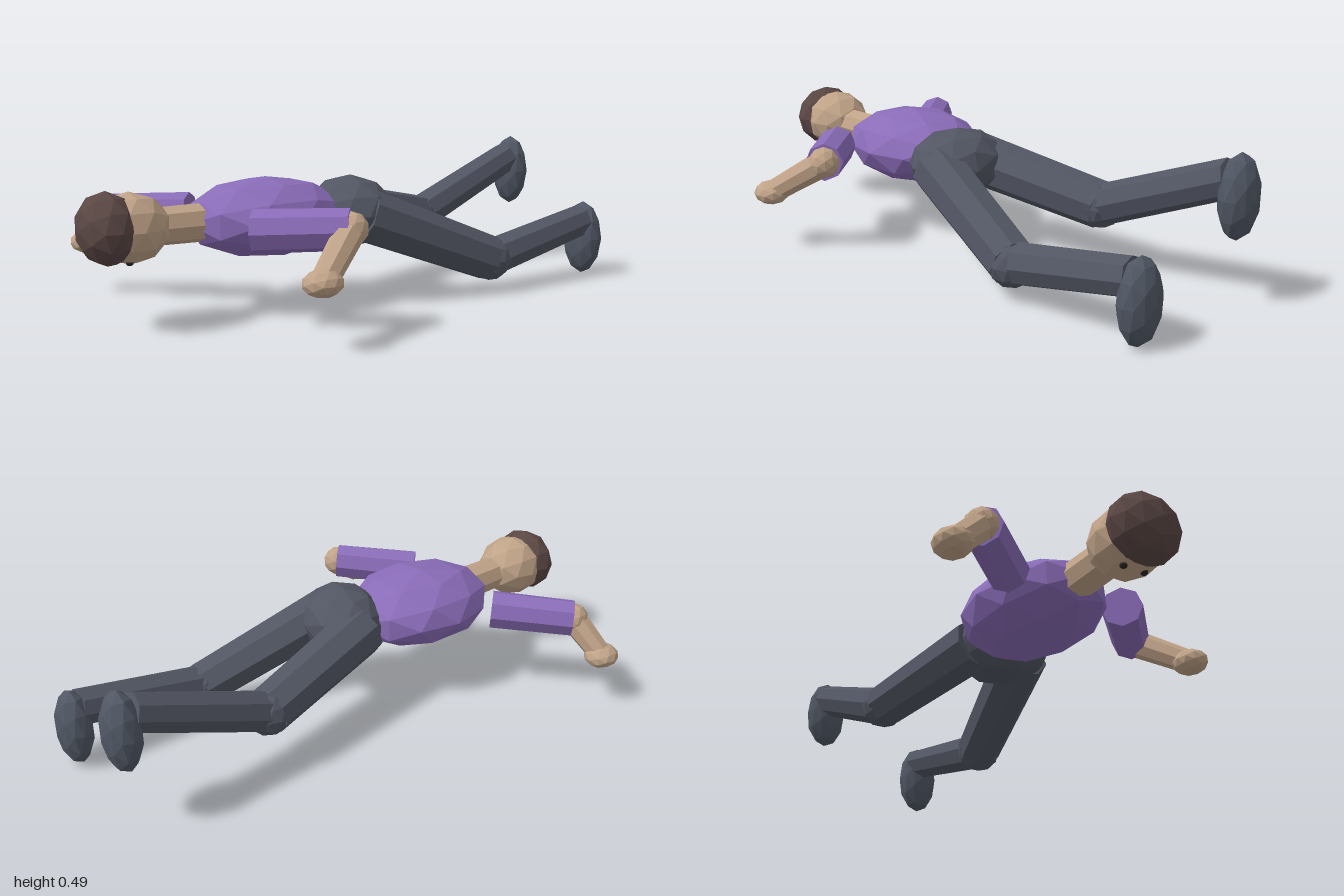
import * as THREE from 'three';

const mat = (name, color) => {
  const m = new THREE.MeshStandardMaterial({ color, flatShading: true });
  m.name = name;
  return m;
};

export function createModel() {
  const model = new THREE.Group();
  model.name = 'proneFigure';

  const shirt = mat('purpleShirt', 0x8a6cb8);
  const trousers = mat('slateTrousers', 0x525663);
  const shoes = mat('slateShoes', 0x505764);
  const skin = mat('skin', 0xc0a388);
  const hair = mat('brownHair', 0x5a4744);
  const dark = mat('darkEyes', 0x2a2422);

  const add = (name, geometry, material) => {
    const mesh = new THREE.Mesh(geometry, material);
    mesh.name = name;
    model.add(mesh);
    return mesh;
  };

  // Faceted ellipsoid
  const blob = (name, material, centre, radii, tilt = [0, 0, 0]) => {
    const mesh = add(name, new THREE.IcosahedronGeometry(1, 1), material);
    mesh.scale.set(...radii);
    mesh.rotation.set(...tilt);
    mesh.position.set(...centre);
    return mesh;
  };

  // Eight-sided limb segment between two joints
  const limb = (name, material, from, to, rFrom, rTo) => {
    const a = new THREE.Vector3(...from);
    const b = new THREE.Vector3(...to);
    const axis = b.clone().sub(a);
    const mesh = add(name, new THREE.CylinderGeometry(rTo, rFrom, axis.length(), 8), material);
    mesh.quaternion.setFromUnitVectors(new THREE.Vector3(0, 1, 0), axis.normalize());
    mesh.position.copy(a).add(b).multiplyScalar(0.5);
  };

  // Body
  blob('torso', shirt, [0, 0.31, 0.345], [0.22, 0.132, 0.285]);
  blob('hips', trousers, [0.065, 0.31, 0.045], [0.175, 0.122, 0.145], [0, -0.25, 0]);
  limb('neck', skin, [0, 0.312, 0.55], [0, 0.315, 0.75], 0.063, 0.06);

  // Head, face turned down
  blob('head', skin, [0, 0.32, 0.828], [0.117, 0.112, 0.128]);
  blob('hair', hair, [0, 0.325, 0.902], [0.123, 0.115, 0.09]);
  for (const side of [-1, 1]) {
    blob('eye', dark, [side * 0.038, 0.221, 0.848], [0.012, 0.01, 0.012]);
  }

  // Arms
  const arms = [
    { side: 'right', shoulder: [-0.21, 0.31, 0.513], elbow: [-0.425, 0.3, 0.705], hand: [-0.54, 0.187, 0.742] },
    { side: 'left', shoulder: [0.225, 0.31, 0.525], elbow: [0.437, 0.325, 0.315], hand: [0.54, 0.203, 0.49] },
  ];
  for (const { side, shoulder, elbow, hand } of arms) {
    limb(side + 'Sleeve', shirt, shoulder, elbow, 0.069, 0.065);
    blob(side + 'Elbow', skin, elbow, [0.055, 0.055, 0.055]);
    limb(side + 'Forearm', skin, elbow, hand, 0.048, 0.04);
    blob(side + 'Hand', skin, hand, [0.059, 0.042, 0.064]);
  }

  // Legs
  const legs = [
    { side: 'right', hip: [-0.035, 0.305, 0.05], knee: [-0.147, 0.215, -0.425], ankle: [-0.16, 0.41, -0.91], foot: [-0.16, 0.357, -0.938] },
    { side: 'left', hip: [0.155, 0.305, 0.05], knee: [0.266, 0.118, -0.42], ankle: [0.265, 0.207, -0.89], foot: [0.265, 0.14, -0.91] },
  ];
  for (const { side, hip, knee, ankle, foot } of legs) {
    limb(side + 'Thigh', trousers, hip, knee, 0.093, 0.082);
    blob(side + 'Knee', trousers, knee, [0.08, 0.08, 0.08]);
    limb(side + 'Shin', trousers, knee, ankle, 0.07, 0.062);
    blob(side + 'Shoe', shoes, foot, [0.079, 0.138, 0.059]);
  }

  return model;
}
